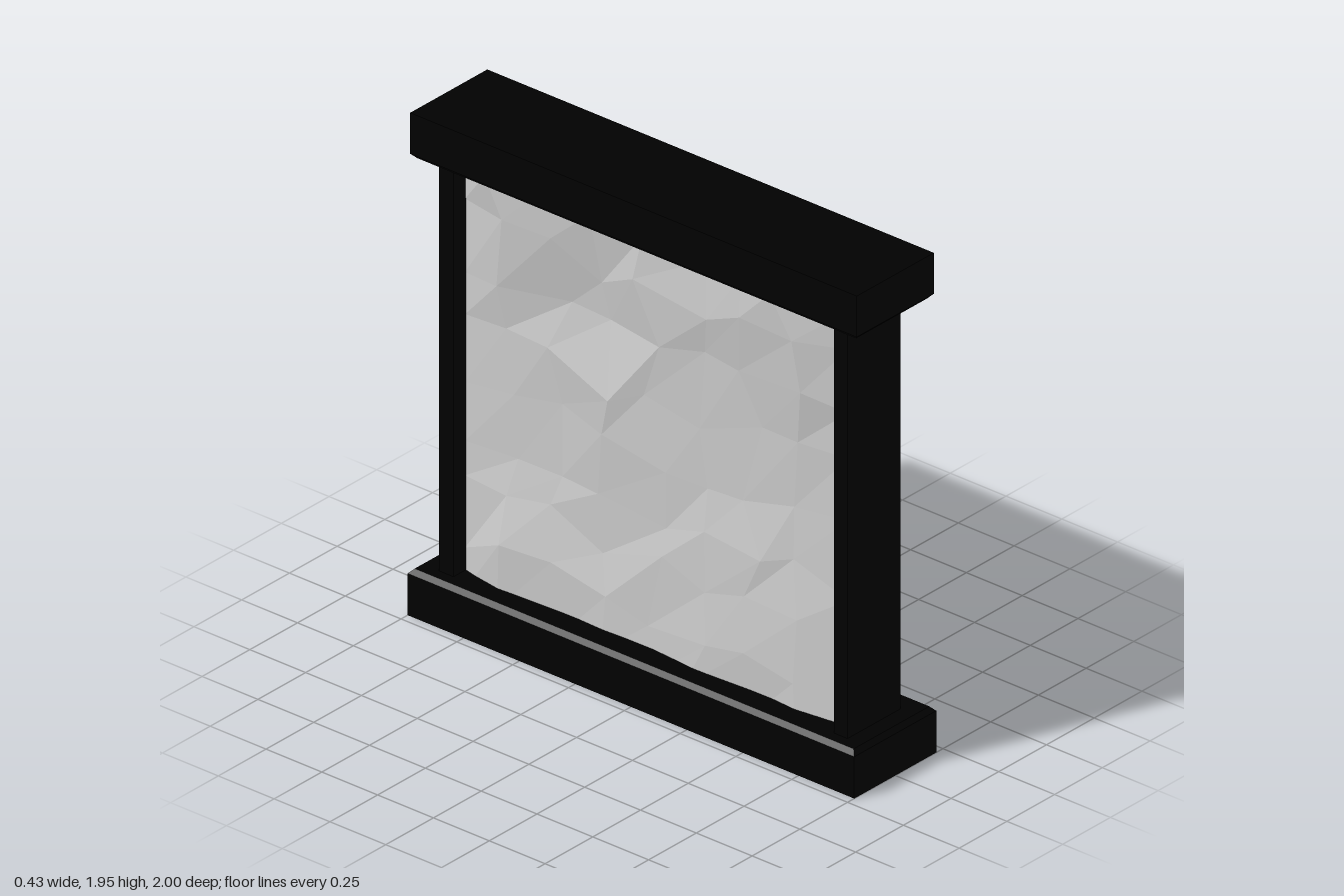
import * as THREE from 'three';

const black = new THREE.MeshStandardMaterial({ color: 0x010101, flatShading: true, side: THREE.DoubleSide });
const stone = new THREE.MeshStandardMaterial({ color: 0xcccccc, flatShading: true });

// Repeatable noise in -1..1
function noise(a, b, c) {
  const s = Math.sin(a * 127.1 + b * 311.7 + c * 74.7) * 43758.5453;
  return (s - Math.floor(s)) * 2 - 1;
}

// Skin over stacked rectangles given as [half width, half depth, y]
function rectLoft(rings) {
  const corners = [[1, 1], [1, -1], [-1, -1], [-1, 1]];
  const at = (r, k) => [r[0] * corners[k % 4][0], r[2], r[1] * corners[k % 4][1]];
  const pos = [];
  for (let i = 0; i < rings.length - 1; i++) {
    for (let k = 0; k < 4; k++) {
      const a = at(rings[i], k), b = at(rings[i], k + 1);
      const c = at(rings[i + 1], k + 1), d = at(rings[i + 1], k);
      pos.push(...a, ...b, ...c, ...a, ...c, ...d);
    }
  }
  const g = new THREE.BufferGeometry();
  g.setAttribute('position', new THREE.Float32BufferAttribute(pos, 3));
  g.computeVertexNormals();
  return g;
}

// Rough-hewn slab: a subdivided box with shifted grid points and uneven faces
function roughSlab() {
  const y0 = 0.1, y1 = 1.79, z0 = -0.85, z1 = 0.865, n = 8;
  const g = new THREE.BoxGeometry(2, 1, 1, 1, n, n);
  const p = g.attributes.position;
  // local swellings and hollows: [y, z, radius, height]
  const bumps = [
    [1.72, 0.6, 0.2, 0.025], [1.42, 0.28, 0.15, -0.045], [1.66, -0.05, 0.16, 0.02],
    [1.72, -0.6, 0.22, 0.035], [1.05, 0.15, 0.17, 0.02], [0.7, 0.42, 0.2, -0.025],
    [0.36, 0.62, 0.2, 0.022], [0.33, -0.2, 0.25, 0.012],
  ];
  for (let i = 0; i < p.count; i++) {
    const side = Math.sign(p.getX(i));
    const iy = Math.round((p.getY(i) + 0.5) * n), iz = Math.round((p.getZ(i) + 0.5) * n);
    const inY = iy > 0 && iy < n ? 1 : 0, inZ = iz > 0 && iz < n ? 1 : 0;
    const y = y0 + (y1 - y0) * (iy + inY * 0.33 * noise(iy, iz, side + 3)) / n;
    const z = z0 + (z1 - z0) * (iz + inZ * 0.33 * noise(iy, iz, side + 7)) / n;
    let depth = 0.09;
    // thicker away from the posts and towards the top
    if (inZ) {
      depth += 0.016 + 0.03 * THREE.MathUtils.smoothstep(y, 1.0, 1.75);
      depth += 0.012 * noise(iy, iz, side + 11);
      for (const [by, bz, r, h] of bumps) {
        const d2 = (y - by) ** 2 + (z - bz * side) ** 2;
        depth += h * Math.exp(-d2 / (r * r));
      }
    }
    p.setXYZ(i, side * depth, y, z);
  }
  const flat = g.toNonIndexed();
  flat.computeVertexNormals();
  return flat;
}

export function createModel() {
  const group = new THREE.Group();
  const add = (name, geometry, material) => {
    const mesh = new THREE.Mesh(geometry, material);
    mesh.name = name;
    group.add(mesh);
    return mesh;
  };

  // Plinth with a recessed underside and a bevelled upper rim
  add('base', rectLoft([
    [0.08, 0.82, 0.095], [0.19, 0.98, 0.095], [0.19, 0.98, 0], [0.215, 1, 0],
    [0.215, 1, 0.162], [0.198, 0.983, 0.18], [0.08, 0.83, 0.18],
  ]), black);

  // Cap beam, bevelled along its lower rim
  add('cap', rectLoft([
    [0, 0, 1.768], [0.185, 0.983, 1.768], [0.202, 1, 1.786], [0.202, 1, 1.945], [0, 0, 1.945],
  ]), black);

  // End posts
  for (const [name, za, zb] of [['frontPost', 0.86, 0.92], ['backPost', -0.91, -0.845]]) {
    const post = add(name, new THREE.BoxGeometry(0.277, 1.62, zb - za), black);
    post.position.set(-0.018, 0.975, (za + zb) / 2);
  }

  add('stonePanel', roughSlab(), stone);
  return group;
}
